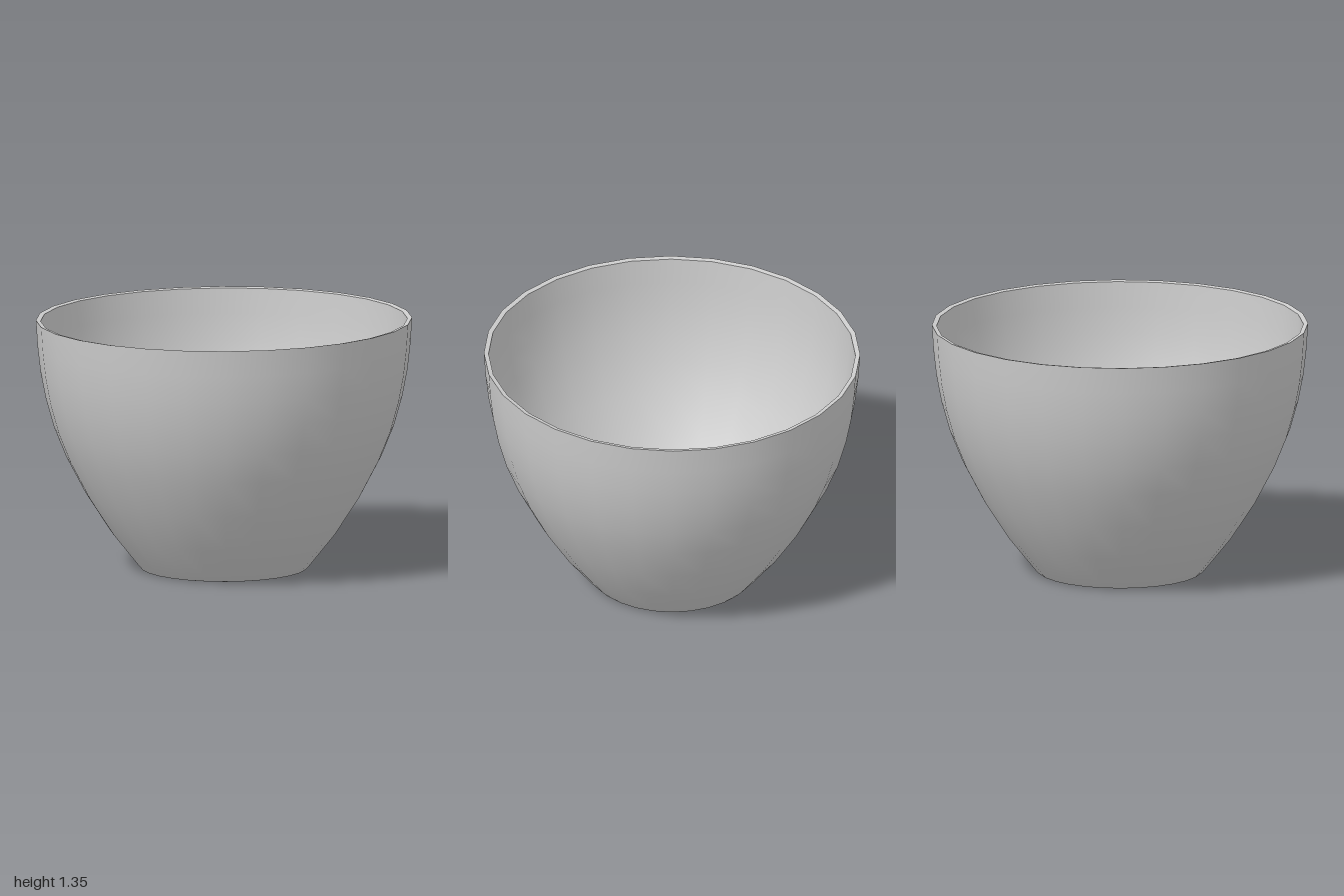
import * as THREE from 'three';
import { toCreasedNormals } from 'three/addons/utils/BufferGeometryUtils.js';

const SIDES = 28;

// Lean the rim very slightly so it rises towards +x
function tilt(geometry) {
  const p = geometry.attributes.position;
  for (let i = 0; i < p.count; i++) {
    p.setY(i, p.getY(i) * (1 + 0.006 * p.getX(i)));
  }
  return geometry;
}

export function createModel() {
  const group = new THREE.Group();
  group.name = 'plantPot';
  const clay = new THREE.MeshStandardMaterial({ color: 0xcccccc });
  clay.name = 'pale grey';

  // Thin wall: foot ring, outside, rim, then down the inside
  const outer = [
    [0.44, 0.004], [0.46, 0.025], [0.6, 0.2], [0.73, 0.4], [0.835, 0.6],
    [0.9, 0.76], [0.945, 0.92], [0.972, 1.06], [0.988, 1.2], [0.997, 1.34],
  ];
  const inner = [
    [0.972, 1.335], [0.962, 1.2], [0.946, 1.06], [0.919, 0.92], [0.874, 0.76],
    [0.81, 0.6], [0.705, 0.4], [0.575, 0.2], [0.46, 0.06], [0.42, 0.04],
  ];
  const profile = [[0.39, 0.014], [0.42, 0], ...outer, ...inner]
    .map(([r, y]) => new THREE.Vector2(r, y));
  const wall = new THREE.Mesh(
    toCreasedNormals(tilt(new THREE.LatheGeometry(profile, SIDES)), 0.6), clay);
  wall.name = 'bowlWall';
  group.add(wall);

  // Floor disc with three drain holes
  const disc = new THREE.Shape();
  for (let i = 0; i < SIDES; i++) {
    const a = (i / SIDES) * Math.PI * 2;
    disc[i ? 'lineTo' : 'moveTo'](0.43 * Math.cos(a), 0.43 * Math.sin(a));
  }
  for (const [x, z] of [[-0.01, -0.31], [-0.26, 0.17], [0.29, 0.14]]) {
    disc.holes.push(new THREE.Path().absarc(x, -z, 0.034, 0, Math.PI * 2, true));
  }
  const floorGeometry = new THREE.ExtrudeGeometry(disc, {
    depth: 0.026, bevelEnabled: false, curveSegments: 8,
  });
  floorGeometry.rotateX(-Math.PI / 2).translate(0, 0.014, 0);
  const floor = new THREE.Mesh(floorGeometry, clay);
  floor.name = 'drainedFloor';
  group.add(floor);

  return group;
}
